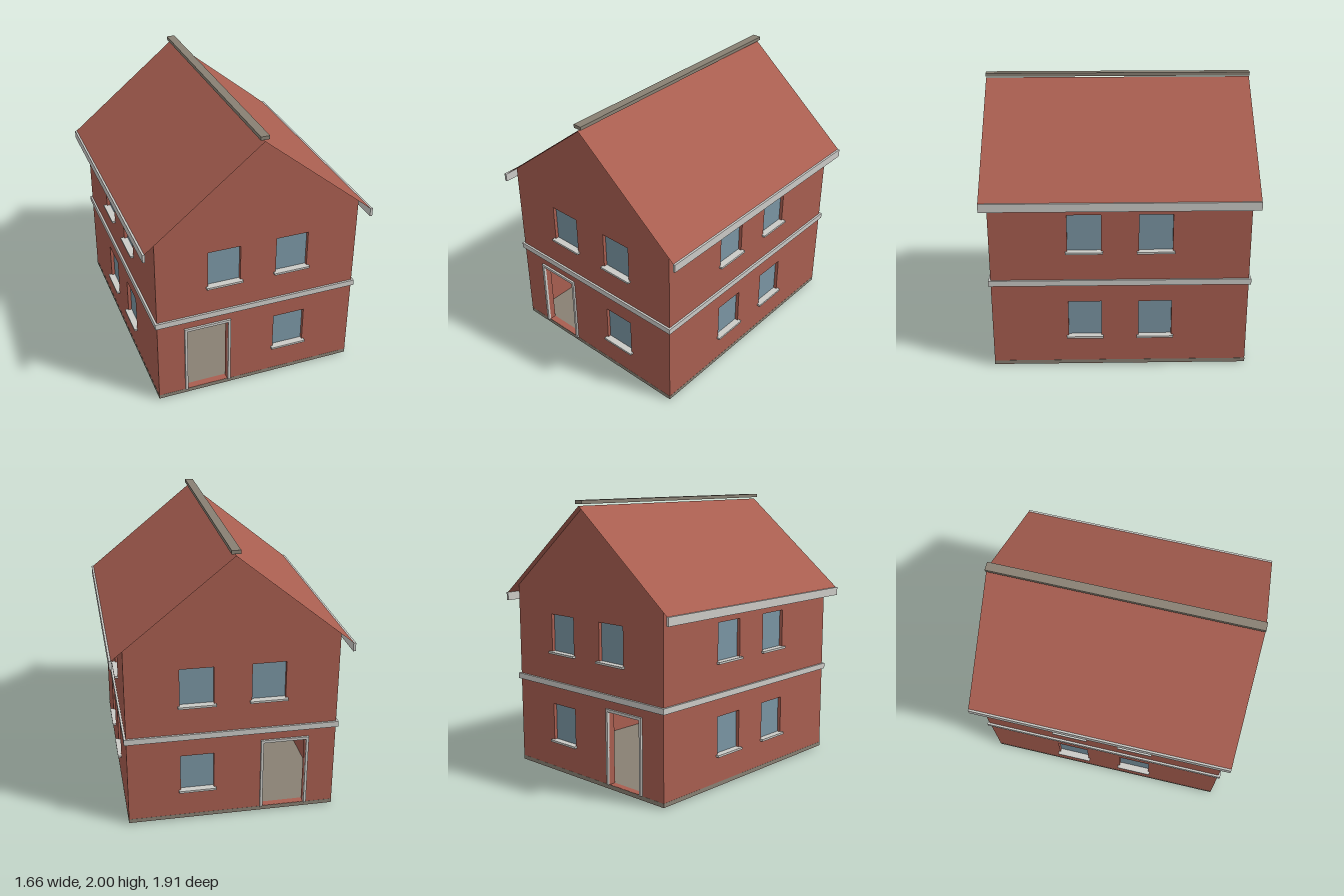
import * as THREE from 'three';

const mat = (name, color, side = THREE.FrontSide) => {
  const m = new THREE.MeshStandardMaterial({ color, side });
  m.name = name;
  return m;
};

export function createModel() {
  const brick = mat('brick red', 0xa85e50, THREE.DoubleSide);
  const trim = mat('pale grey trim', 0xcbcac6);
  const stone = mat('taupe stone', 0x888073, THREE.DoubleSide);
  const glass = mat('blue grey glass', 0x7a95a3);

  const house = new THREE.Group();
  house.name = 'house';

  const W = 0.74, D = 0.91, T = 0.05;          // half width, half depth, wall thickness
  const BASE = 0.01, EAVE = 1.36, APEX = 1.96;

  const add = (parent, name, geo, material, x = 0, y = 0, z = 0) => {
    const m = new THREE.Mesh(geo, material);
    m.name = name;
    m.position.set(x, y, z);
    parent.add(m);
    return m;
  };
  // box given by its minimum and maximum corners
  const box = (parent, name, material, [x0, y0, z0], [x1, y1, z1]) =>
    add(parent, name, new THREE.BoxGeometry(x1 - x0, y1 - y0, z1 - z0), material,
      (x0 + x1) / 2, (y0 + y1) / 2, (z0 + z1) / 2);

  const rectHole = (x0, y0, x1, y1) => new THREE.Path([
    new THREE.Vector2(x0, y0), new THREE.Vector2(x0, y1),
    new THREE.Vector2(x1, y1), new THREE.Vector2(x1, y0),
  ]);

  // one side of the house, built facing +z at distance d, then turned
  function facade(name, half, d, windows, doorX, angle) {
    const side = new THREE.Group();
    side.name = name;
    side.rotation.y = angle;
    house.add(side);

    const pts = [[-half, BASE], [half, BASE], [half, EAVE]];
    if (doorX !== null) pts.push([0, APEX]);
    pts.push([-half, EAVE]);
    const shape = new THREE.Shape(pts.map(p => new THREE.Vector2(...p)));

    // windows with recessed panes and sills
    for (const [x, y] of windows) {
      const x0 = x - 0.118, x1 = x + 0.118;
      shape.holes.push(rectHole(x0, y, x1, y + 0.28));
      box(side, 'windowPane', glass, [x0, y, d - 0.034], [x1, y + 0.28, d - 0.025]);
      box(side, 'windowSill', trim, [x - 0.132, y - 0.007, d - 0.025], [x + 0.132, y + 0.008, d + 0.025]);
    }

    // doorway with its frame
    if (doorX !== null) {
      const x0 = doorX - 0.153, x1 = doorX + 0.153, top = 0.568, f = 0.018;
      shape.holes.push(rectHole(x0, 0.042, x1, top));
      for (const [a, b] of [[x0 - f, x0], [x1, x1 + f]])
        box(side, 'doorJamb', trim, [a, 0.042, d - 0.005], [b, top, d + 0.015]);
      box(side, 'doorLintel', trim, [x0 - f, top, d - 0.005], [x1 + f, top + 0.02, d + 0.015]);
    }

    add(side, 'wall', new THREE.ExtrudeGeometry(shape, { depth: T, bevelEnabled: false }), brick, 0, 0, d - T);

    // string course between the floors
    const reach = doorX !== null ? half + 0.015 : half + T;
    box(side, 'stringCourse', trim, [-reach, 0.648, d], [reach, 0.69, d + 0.015]);
  }

  const UP = 0.9, LOW = 0.237;
  const upper = [[-0.25, UP], [0.25, UP]];
  facade('frontWall', W, D, [...upper, [0.25, LOW]], -0.373, 0);
  facade('backWall', W, D, [...upper, [-0.25, LOW]], 0.373, Math.PI);
  const sideWindows = [...upper, [-0.25, LOW], [0.25, LOW]];
  for (const s of [1, -1])
    facade(s > 0 ? 'leftWall' : 'rightWall', D - T, W, sideWindows, null, s * Math.PI / 2);

  // ground slab, whose edge shows as a plinth
  box(house, 'floorSlab', stone, [-W - 0.001, 0.012, -D - 0.001], [W + 0.001, 0.04, D + 0.001]);
  const underside = add(house, 'underside',
    new THREE.PlaneGeometry(2 * (W - T), 2 * (D - T)), stone);
  underside.rotation.x = Math.PI / 2;

  // thin roof slopes and gutters
  const eaveX = 0.82, eaveY = 1.297, roofZ = 0.957, peak = APEX + 0.002;
  const length = Math.hypot(eaveX, peak - eaveY);
  for (const s of [1, -1]) {
    const slope = add(house, 'roofSlope', new THREE.PlaneGeometry(length, 2 * roofZ).rotateX(-Math.PI / 2),
      brick, s * eaveX / 2, (peak + eaveY) / 2, 0);
    slope.rotation.z = -s * Math.atan2(peak - eaveY, eaveX);
    const x = s * 0.822;
    box(house, 'gutter', trim, [x - 0.009, 1.24, -roofZ], [x + 0.009, 1.3, roofZ]);
  }

  // ridge cap
  box(house, 'ridgeCap', stone, [-0.031, 1.975, -roofZ], [0.031, 2, roofZ]);

  return house;
}
